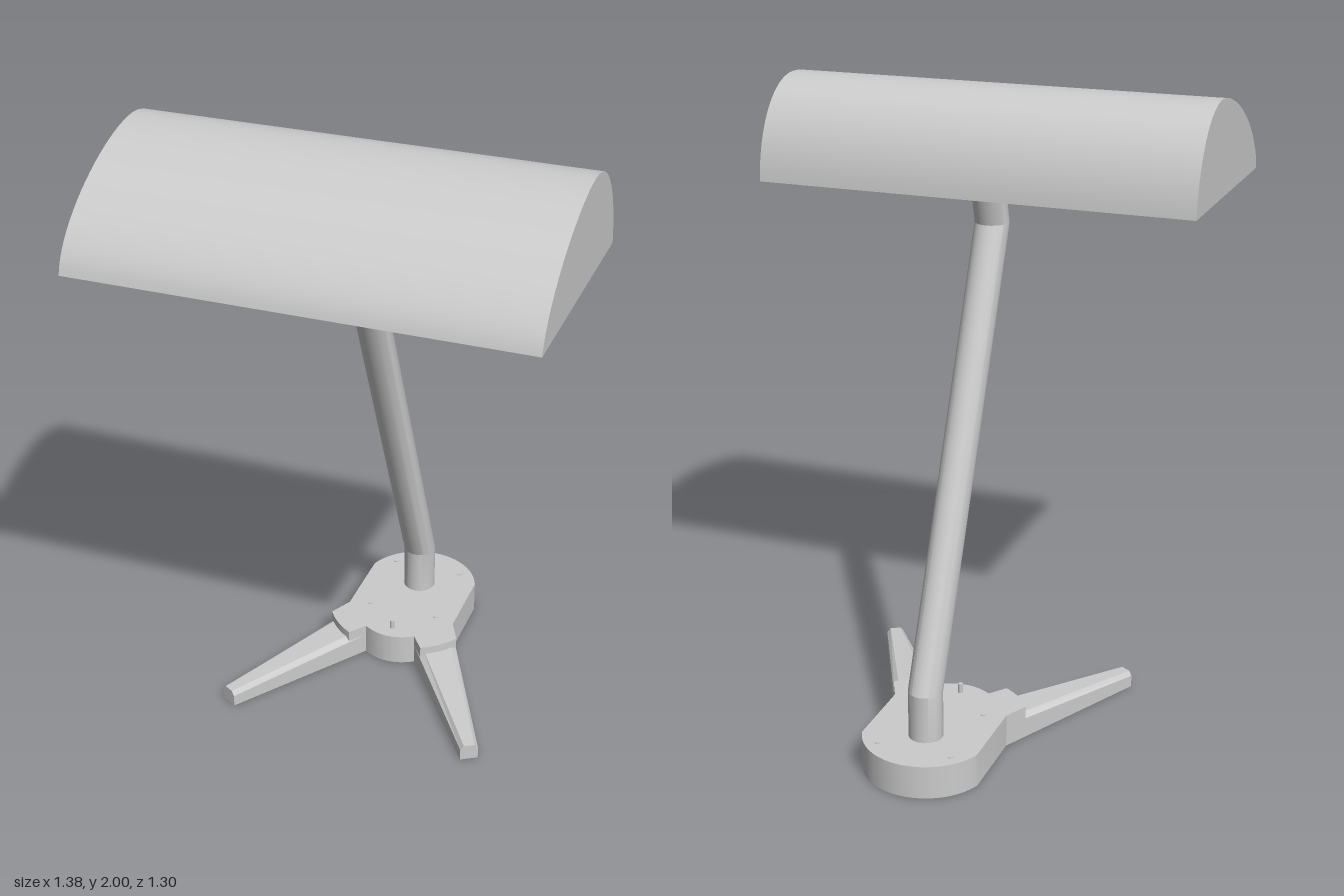
import * as THREE from 'three';
import { toCreasedNormals } from 'three/addons/utils/BufferGeometryUtils.js';

const grey = new THREE.MeshStandardMaterial({ color: 0xcccccc });
const greyThin = new THREE.MeshStandardMaterial({ color: 0xcccccc, side: THREE.DoubleSide });

function part(name, geometry, material = grey) {
  const mesh = new THREE.Mesh(geometry, material);
  mesh.name = name;
  return mesh;
}

// Skin a list of equal-length rings (counter-clockwise about the loft direction)
function loft(rings, closed, crease) {
  const pos = [];
  const tri = (...pts) => pts.forEach((p) => pos.push(...p));
  const n = rings[0].length;
  for (let r = 0; r < rings.length - 1; r++) {
    const a = rings[r], b = rings[r + 1];
    for (let i = 0; i < (closed ? n : n - 1); i++) {
      const j = (i + 1) % n;
      tri(a[i], a[j], b[j]);
      tri(a[i], b[j], b[i]);
    }
  }
  if (closed) {
    const first = rings[0], last = rings[rings.length - 1];
    for (let i = 1; i < n - 1; i++) {
      tri(first[0], first[i + 1], first[i]);
      tri(last[0], last[i], last[i + 1]);
    }
  }
  const g = new THREE.BufferGeometry();
  g.setAttribute('position', new THREE.Float32BufferAttribute(pos, 3));
  return toCreasedNormals(g, crease);
}

// Hollow half-round shade, open underneath
function createShade() {
  const shade = new THREE.Group();
  shade.name = 'shade';
  const half = 0.69;
  const profile = new THREE.Shape();
  profile.moveTo(0.65, 1.7);
  profile.bezierCurveTo(0.62, 1.85, 0.33, 2.0, 0.16, 2.0);
  profile.bezierCurveTo(0.02, 2.0, -0.08, 1.87, -0.09, 1.7);
  const pts = profile.getPoints(20);
  const ring = (x) => pts.map((p) => [x, p.y, p.x]);
  shade.add(part('shadeCover', loft([ring(half), ring(-half)], false, 0.6), greyThin));
  for (const s of [-1, 1]) {
    const end = part(s > 0 ? 'leftShadeEnd' : 'rightShadeEnd', new THREE.ShapeGeometry(profile, 20), greyThin);
    end.rotation.y = -Math.PI / 2;
    end.position.x = s * half;
    shade.add(end);
  }
  return shade;
}

// Bent pole: level circles shifted along a bent line
function createPole() {
  const stations = [[0.09, -0.457], [0.26, -0.457], [1.59, 0.107], [1.87, 0.024]];
  const sides = 24, radius = 0.054;
  const rings = stations.map(([y, z]) => Array.from({ length: sides }, (_, i) => {
    const t = (i / sides) * Math.PI * 2;
    return [radius * Math.sin(t), y, z + radius * Math.cos(t)];
  }));
  return part('pole', loft(rings, true, 0.35));
}

// Base block: rounded back, two lobes over the leg roots, bowed front
function createBaseBlock() {
  const s = new THREE.Shape();
  s.moveTo(0.19, 0.26);
  s.lineTo(0.19, 0.512);
  s.absarc(0, 0.45, 0.2, 0.316, Math.PI - 0.316, false);
  s.lineTo(-0.19, 0.26);
  s.absarc(0, 0.33, 0.27, -2.572, -2.069, false);
  s.lineTo(-0.088, 0.147);
  s.quadraticCurveTo(0, 0.09, 0.088, 0.147);
  s.absarc(0, 0.33, 0.27, -1.073, -0.57, false);
  s.closePath();
  const g = new THREE.ExtrudeGeometry(s, { depth: 0.107, bevelEnabled: false, curveSegments: 24 });
  g.rotateX(-Math.PI / 2);
  return part('baseBlock', toCreasedNormals(g, 0.4));
}

// Tapering leg with chamfered top edges
function createLeg(side) {
  const section = ([ix, iz], [ox, oz], h, inset) => {
    const at = (t, y) => [side * (ix + (ox - ix) * t), y, iz + (oz - iz) * t];
    const ring = [at(0, 0), at(1, 0), at(1, h - 0.014), at(1 - inset, h), at(inset, h), at(0, h - 0.014)];
    return side > 0 ? ring : ring.reverse();
  };
  const rings = [
    section([0.088, -0.147], [0.19, -0.26], 0.084, 0.14),
    section([0.395, 0.285], [0.445, 0.255], 0.053, 0.2),
  ];
  return part(side > 0 ? 'leftLeg' : 'rightLeg', loft(rings, true, 0.2));
}

export function createModel() {
  const model = new THREE.Group();
  model.name = 'deskLamp';
  model.add(createShade(), createPole(), createBaseBlock(), createLeg(1), createLeg(-1));

  // Switch pin and four screw heads on the base
  const pin = part('switchPin', new THREE.CylinderGeometry(0.008, 0.008, 0.04, 12));
  pin.position.set(0, 0.118, -0.17);
  model.add(pin);
  for (const x of [-0.12, 0.12]) {
    for (const z of [-0.555, -0.28]) {
      const screw = part('screw', new THREE.CylinderGeometry(0.009, 0.009, 0.008, 12));
      screw.position.set(x, 0.106, z);
      model.add(screw);
    }
  }
  return model;
}
